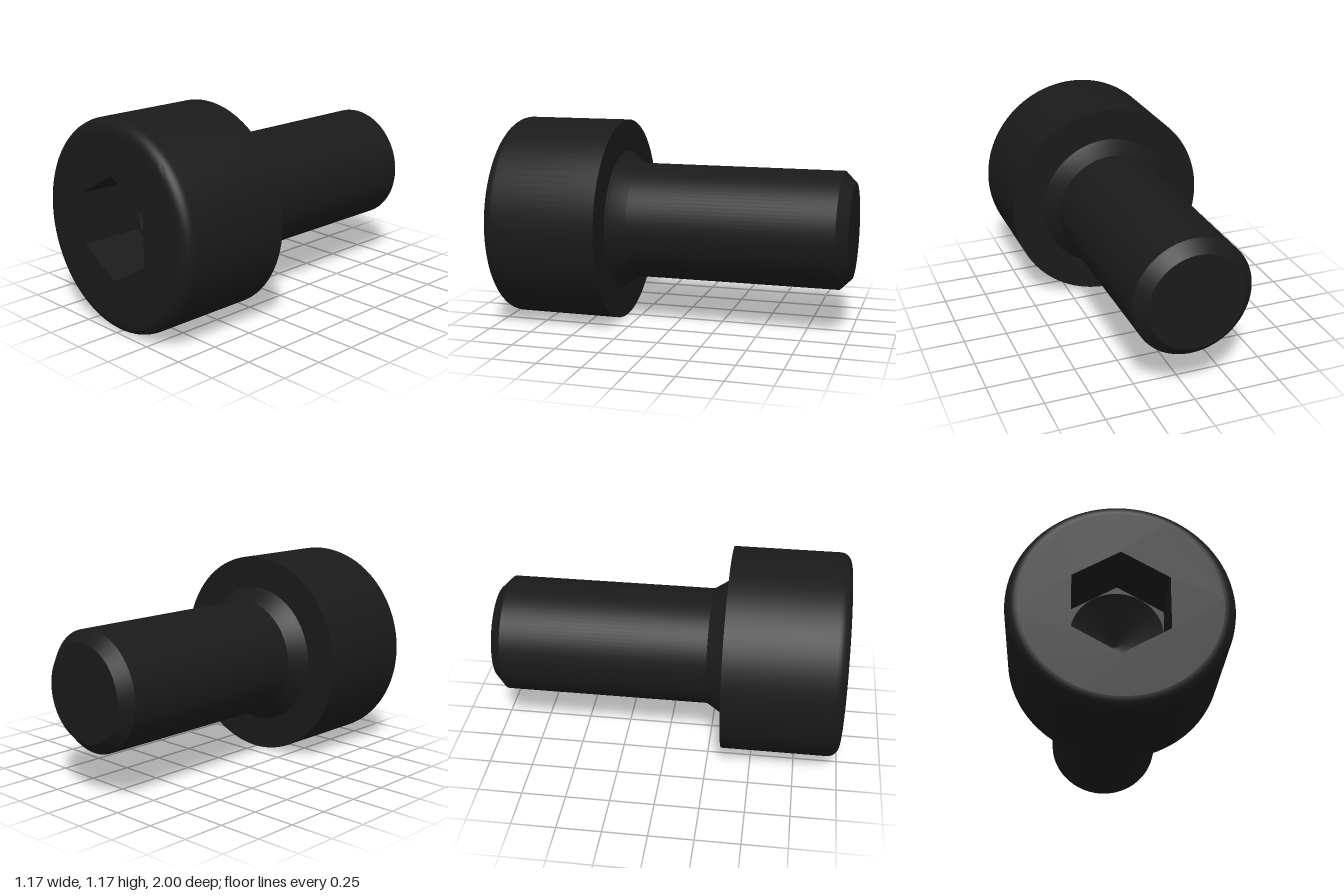
import * as THREE from 'three';
import { toCreasedNormals } from 'three/addons/utils/BufferGeometryUtils.js';

const HEAD_R = 0.583, SHANK_R = 0.333, FILLET = 0.065;
const SEAT_Z = 0.335, FLOOR_Z = 0.64, HEX_R = 0.289, BORE_R = 0.249;

export function createModel() {
  const group = new THREE.Group();
  const material = new THREE.MeshStandardMaterial({ color: 0x1a1a1a });

  function add(name, geometry) {
    const mesh = new THREE.Mesh(geometry, material);
    mesh.name = name;
    group.add(mesh);
  }

  // Revolve [radius, z] pairs about the z axis; sharp corners stay sharp
  function turned(profile, segments = 96) {
    const points = profile.map(([r, z]) => new THREE.Vector2(r, z));
    const geometry = new THREE.LatheGeometry(points, segments).rotateX(Math.PI / 2);
    return toCreasedNormals(geometry, 0.42);
  }

  function hexagon(PathType) {
    const points = [];
    for (let i = 0; i < 6; i++) {
      const a = Math.PI / 2 + i * Math.PI / 3;
      points.push(new THREE.Vector2(HEX_R * Math.cos(a), HEX_R * Math.sin(a)));
    }
    return new PathType(points);
  }

  // Shank with chamfered tip and flared neck
  add('shank', turned([
    [0, -1], [SHANK_R - 0.063, -1], [SHANK_R, -0.937], [SHANK_R, 0.235],
    [0.385, 0.318], [0.392, 0.325], [0.4, SEAT_Z],
  ]));

  // Head with rounded front rim
  const headProfile = [[0.4, SEAT_Z], [HEAD_R, SEAT_Z]];
  for (let i = 0; i <= 8; i++) {
    const a = i / 8 * Math.PI / 2;
    headProfile.push([HEAD_R - FILLET + FILLET * Math.cos(a), 1 - FILLET + FILLET * Math.sin(a)]);
  }
  add('head', turned(headProfile));

  // Front face, pierced by the hexagonal socket
  const face = new THREE.Shape().absarc(0, 0, HEAD_R - FILLET, 0, Math.PI * 2);
  face.holes.push(hexagon(THREE.Path));
  add('headFace', new THREE.ShapeGeometry(face, 48).translate(0, 0, 1));

  // Socket walls, flat corners of its floor, and the drilled cone
  add('socketWalls', turned([[HEX_R, 1], [HEX_R, FLOOR_Z]], 6));
  const floor = hexagon(THREE.Shape);
  floor.holes.push(new THREE.Path().absarc(0, 0, BORE_R, 0, Math.PI * 2));
  add('socketFloor', new THREE.ShapeGeometry(floor, 48).translate(0, 0, FLOOR_Z));
  add('socketCone', turned([[BORE_R, FLOOR_Z], [0, FLOOR_Z - 0.144]]));

  group.position.y = HEAD_R;
  return group;
}
